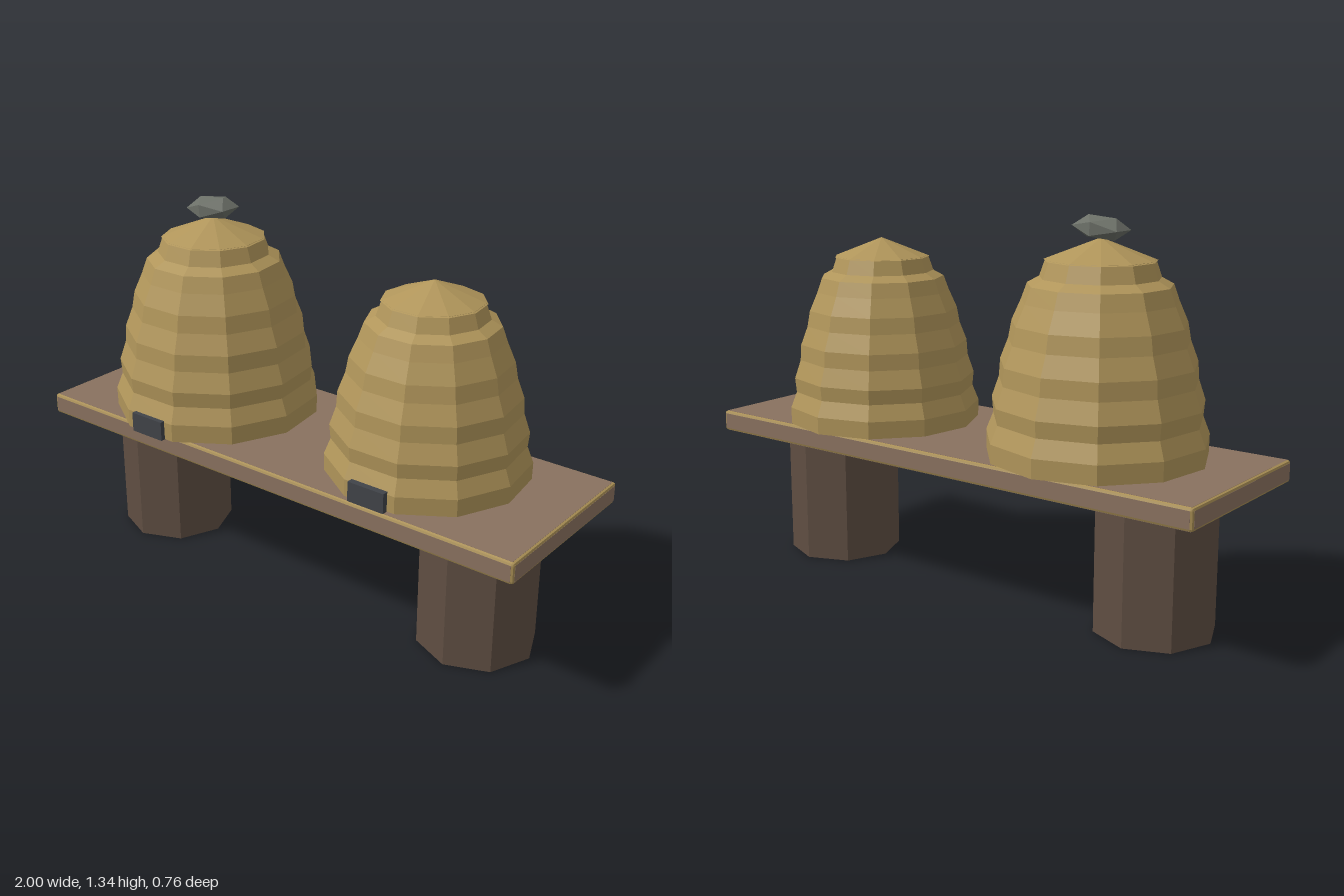
import * as THREE from 'three';
import { RoundedBoxGeometry } from 'three/addons/geometries/RoundedBoxGeometry.js';

const material = (name, color) => {
  const m = new THREE.MeshStandardMaterial({ color });
  m.name = name;
  return m;
};

// Facet a geometry so every face is shaded flat
function flat(geometry) {
  const g = geometry.index ? geometry.toNonIndexed() : geometry;
  g.computeVertexNormals();
  return g;
}

function add(parent, name, geometry, mat, x = 0, y = 0, z = 0) {
  const mesh = new THREE.Mesh(geometry, mat);
  mesh.name = name;
  mesh.position.set(x, y, z);
  parent.add(mesh);
  return mesh;
}

export function createModel() {
  const straw = material('straw', 0xb0955a);
  const plank = material('plank wood', 0x89715f);
  const bark = material('bark', 0x5f4e42);
  const cutWood = material('cut wood', 0xa98f55);
  const stone = material('stone', 0x6c7068);
  const dark = material('dark entrance', 0x404348);

  const model = new THREE.Group();
  model.name = 'hiveBench';

  // Log stumps with pale cut ends
  const log = flat(new THREE.CylinderGeometry(0.207, 0.207, 0.48, 8));
  for (const [name, side] of [['leftStump', 1], ['rightStump', -1]]) {
    add(model, name, log, [bark, cutWood, cutWood], side * 0.697, 0.24, 0);
  }

  // Board: pale chamfered core with plank faces laid on all six sides
  const board = new THREE.Group();
  board.name = 'board';
  board.position.y = 0.517;
  model.add(board);
  const [w, h, d] = [2, 0.076, 0.662], bevel = 0.01, skin = 0.001;
  add(board, 'boardEdges', flat(new RoundedBoxGeometry(w - skin, h - skin, d - skin, 1, bevel)), cutWood);
  add(board, 'boardTopAndBottom', new THREE.BoxGeometry(w - 2 * bevel, h, d - 2 * bevel), plank);
  add(board, 'boardFrontAndBack', new THREE.BoxGeometry(w - 2 * bevel, h - 2 * bevel, d), plank);
  add(board, 'boardEnds', new THREE.BoxGeometry(w, h - 2 * bevel, d - 2 * bevel), plank);

  // Coiled straw dome, [radius, height] from the base up
  const profile = [
    [0, 0], [0.375, 0], [0.376, 0.065], [0.352, 0.125], [0.357, 0.18],
    [0.333, 0.25], [0.329, 0.31], [0.302, 0.38], [0.291, 0.44],
    [0.26, 0.51], [0.24, 0.565], [0.2, 0.587], [0.18, 0.645],
  ].map(([r, y]) => new THREE.Vector2(r, y));
  const cap = [[0, 0.635], [0.186, 0.642], [0, 0.715]].map(([r, y]) => new THREE.Vector2(r, y));
  const domeGeometry = flat(new THREE.LatheGeometry(profile, 11, Math.PI));
  const capGeometry = flat(new THREE.LatheGeometry(cap, 11, Math.PI));

  const hives = [
    { name: 'rightHive', x: -0.46, z: 0, scale: 1, doorZ: 0.377 },
    { name: 'leftHive', x: 0.455, z: -0.03, scale: 0.927, doorZ: 0.324 },
  ];
  for (const { name, x, z, scale, doorZ } of hives) {
    const hive = new THREE.Group();
    hive.name = name;
    hive.position.set(x, 0.556, z);
    hive.scale.setScalar(scale);
    model.add(hive);
    add(hive, 'strawDome', domeGeometry, straw);
    add(hive, 'strawCap', capGeometry, straw);
    add(model, name + 'Entrance', new THREE.BoxGeometry(0.14, 0.07, 0.04), dark, x, 0.59, doorZ - 0.02);
  }

  // Weight stone on the larger hive
  const rock = add(model, 'capStone', flat(new THREE.IcosahedronGeometry(0.1, 0)
    .scale(1, 0.42, 0.83)), stone, -0.46, 1.302, 0);
  rock.rotation.z = 0.08;

  return model;
}
